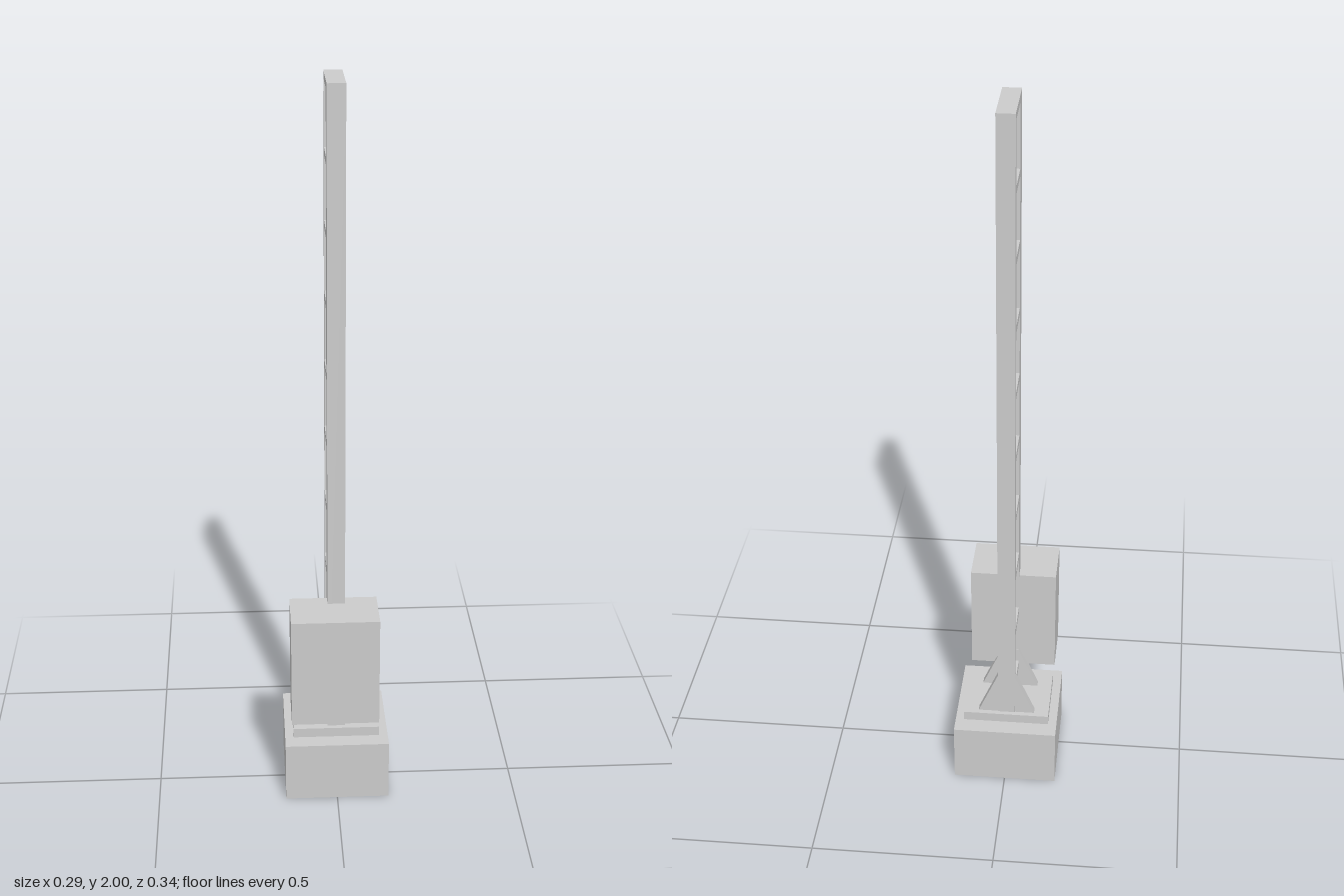
import * as THREE from 'three';

export function createModel() {
  const model = new THREE.Group();
  model.name = 'latticeMast';
  const material = new THREE.MeshStandardMaterial({ color: 0xcccccc, flatShading: true });

  // Box given by its limits on each axis
  function box(name, [x0, x1], [y0, y1], [z0, z1]) {
    const mesh = new THREE.Mesh(new THREE.BoxGeometry(x1 - x0, y1 - y0, z1 - z0), material);
    mesh.position.set((x0 + x1) / 2, (y0 + y1) / 2, (z0 + z1) / 2);
    mesh.name = name;
    model.add(mesh);
  }

  // Foundation and base plate
  box('foundation', [-0.144, 0.144], [0, 0.17], [-0.17, 0.12]);
  box('basePlate', [-0.12, 0.12], [0.17, 0.197], [-0.122, 0.072]);

  // Two uprights, the front one thicker
  const width = [-0.024, 0.024];
  box('frontUpright', width, [0.197, 2], [0.015, 0.058]);
  box('backUpright', width, [0.197, 2], [-0.11, -0.087]);

  // Evenly spaced rungs joining the uprights
  for (let i = 0; i < 10; i++) {
    const top = 2 - i * 0.1905;
    box('rung', width, [top - 0.02, top], [-0.087, 0.015]);
  }

  // Tapered foot gussets
  const profile = new THREE.Shape([
    [-0.079, 0.197], [0.079, 0.197], [0.024, 0.325], [-0.024, 0.325],
  ].map(([x, y]) => new THREE.Vector2(x, y)));
  for (const [name, z] of [['frontGusset', 0.013], ['backGusset', -0.108]]) {
    const gusset = new THREE.Mesh(
      new THREE.ExtrudeGeometry(profile, { depth: 0.02, bevelEnabled: false }), material);
    gusset.position.z = z;
    gusset.name = name;
    model.add(gusset);
  }

  // Equipment cabinet hung on the front upright
  box('cabinet', [-0.127, 0.112], [0.27, 0.582], [0.023, 0.168]);

  return model;
}
